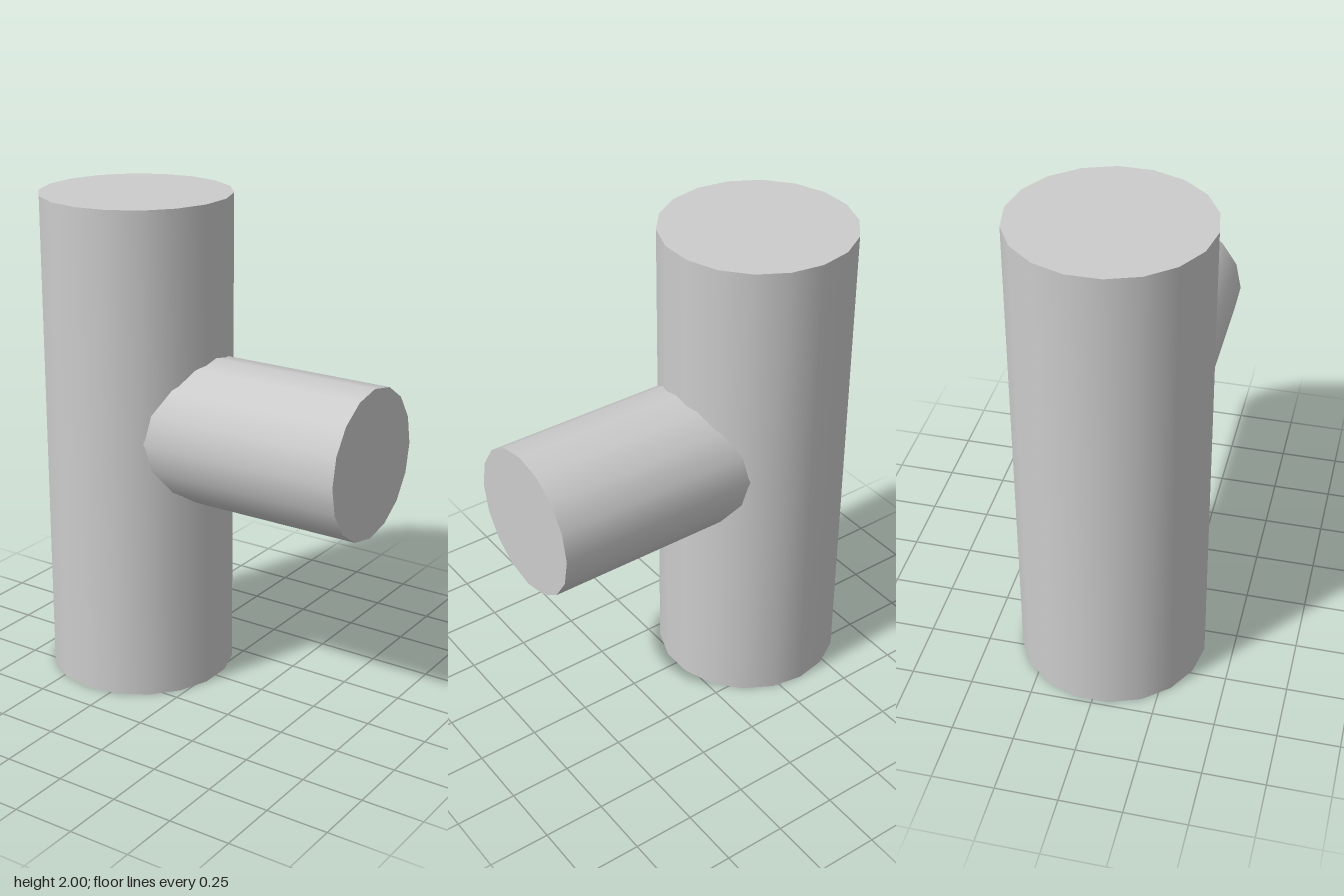
import * as THREE from 'three';

export function createModel() {
  const model = new THREE.Group();
  const grey = new THREE.MeshStandardMaterial({ color: 0xcccccc });
  grey.name = 'light grey';

  const axisX = -0.353; // axis of the upright pipe
  const endX = 0.727;   // free end of the branch

  // Upright main pipe
  const mainPipe = new THREE.Mesh(new THREE.CylinderGeometry(0.383, 0.383, 2, 18), grey);
  mainPipe.name = 'mainPipe';
  mainPipe.position.set(axisX, 1, 0);
  model.add(mainPipe);

  // Side branch, running from the main axis out to the left
  const length = endX - axisX;
  const branch = new THREE.Mesh(new THREE.CylinderGeometry(0.298, 0.298, length, 16), grey);
  branch.name = 'branchPipe';
  branch.rotation.z = -Math.PI / 2;
  branch.position.set(axisX + length / 2, 1.087, 0);
  model.add(branch);

  return model;
}
